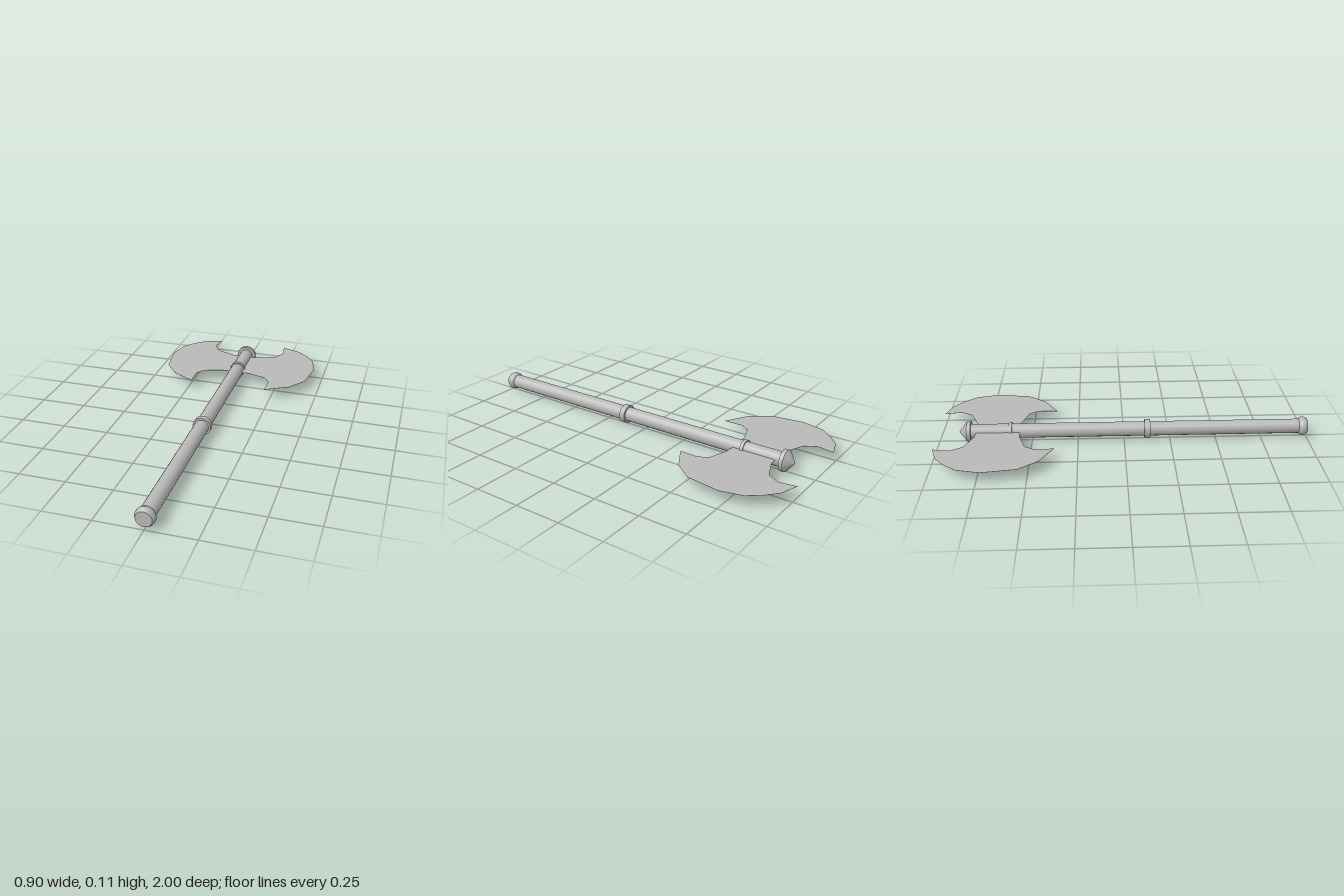
import * as THREE from 'three';
import { toCreasedNormals } from 'three/addons/utils/BufferGeometryUtils.js';

const AXIS_Y = 0.059;
const BLADE_Y = 0.064;

export function createModel() {
  const group = new THREE.Group();
  const steel = new THREE.MeshStandardMaterial({ color: 0xb8b8b8 });
  steel.name = 'grey steel';

  function add(name, geometry, y) {
    const mesh = new THREE.Mesh(geometry, steel);
    mesh.name = name;
    mesh.position.y = y;
    group.add(mesh);
  }

  // Turned part lying along z; profile is [radius, z] from back to front
  function turned(name, profile) {
    const points = profile.map(([r, z]) => new THREE.Vector2(r, z));
    const geometry = new THREE.LatheGeometry(points, 16).rotateX(Math.PI / 2);
    add(name, toCreasedNormals(geometry, 0.5), AXIS_Y);
  }

  function ring(name, radius, z0, z1) {
    turned(name, [[0.035, z0], [radius, z0], [radius, z1], [0.035, z1]]);
  }

  // Handle and its fittings
  turned('shaft', [[0, -0.83], [0.039, -0.83], [0.039, 0.97], [0, 0.97]]);
  turned('pommel', [[0.038, 0.953], [0.044, 0.957], [0.05, 0.968], [0.05, 0.984], [0.041, 1], [0, 1]]);
  ring('gripRing', 0.05, 0.11, 0.141);
  ring('neckRing', 0.046, -0.622, -0.604);
  turned('topCap', [[0, -0.89], [0.057, -0.845], [0.057, -0.825], [0.036, -0.825]]);

  // Blade outline as [x, z], mirrored for the other side
  const outline = [
    [0.02, -0.8], [0.075, -0.8], [0.185, -0.845], [0.222, -0.91], [0.206, -1],
    [0.305, -0.967], [0.37, -0.91], [0.422, -0.845], [0.45, -0.725], [0.425, -0.545],
    [0.35, -0.445], [0.219, -0.37], [0.222, -0.475], [0.19, -0.525], [0.08, -0.56], [0.02, -0.56],
  ];
  for (const [name, side] of [['leftBlade', 1], ['rightBlade', -1]]) {
    const shape = new THREE.Shape(outline.map(([x, z]) => new THREE.Vector2(x * side, z)));
    const geometry = new THREE.ExtrudeGeometry(shape, {
      depth: 0.001, bevelThickness: 0.0025, bevelSize: 0.01, bevelOffset: -0.01, bevelSegments: 1,
    });
    geometry.translate(0, 0, -0.0005).rotateX(Math.PI / 2);
    add(name, toCreasedNormals(geometry, 0.2), BLADE_Y);
  }

  return group;
}
